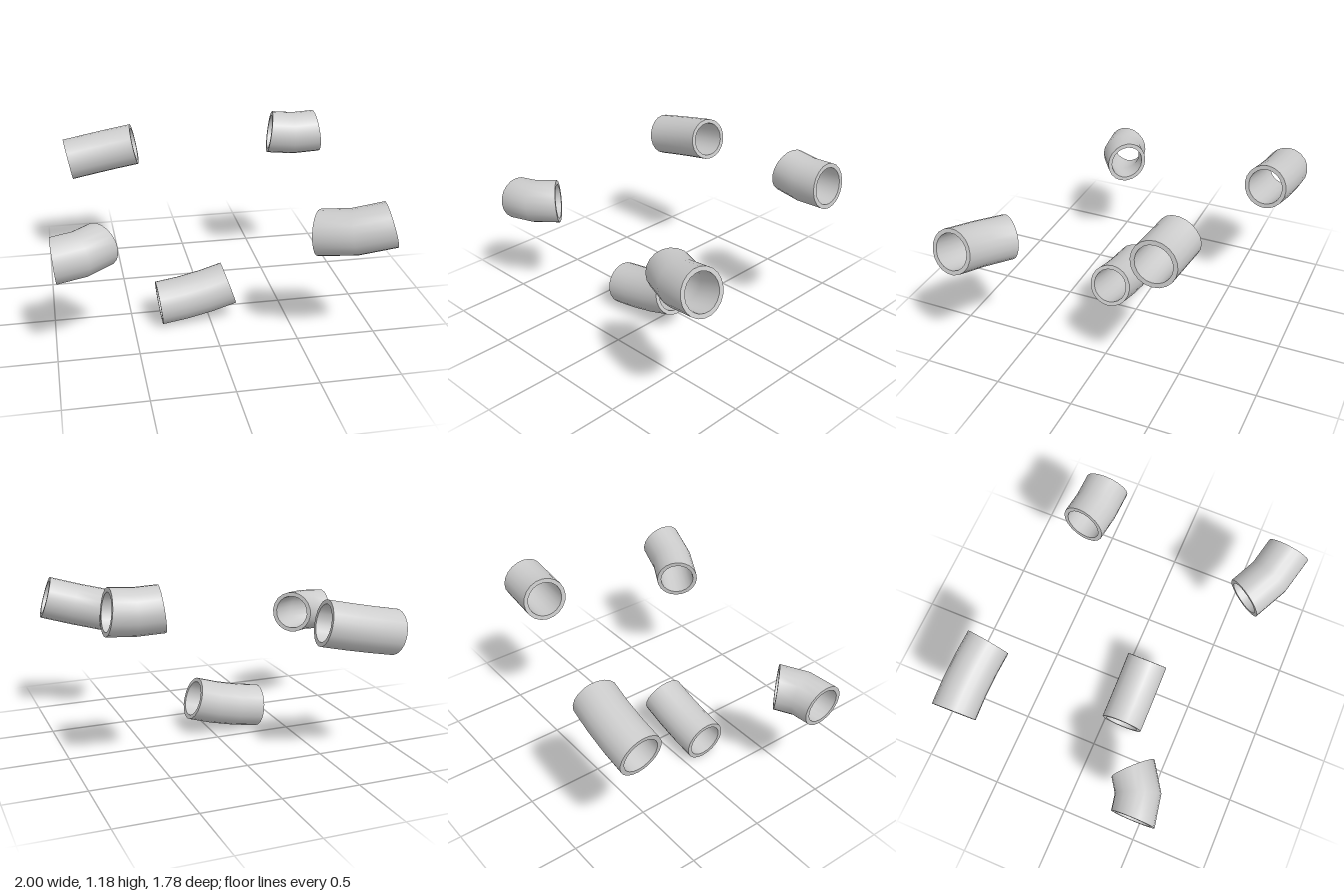
import * as THREE from 'three';
import { mergeGeometries } from 'three/addons/utils/BufferGeometryUtils.js';

const OUTER = 0.14, INNER = 0.113, SIDES = 20;

// Flat ring closing one end, joining the rims of the outer and inner walls
function endRing(outer, inner, firstVertex, atEnd) {
  const positions = [], uvs = [], index = [];
  for (let j = 0; j <= SIDES; j++) {
    for (const wall of [outer, inner]) {
      const p = new THREE.Vector3().fromBufferAttribute(wall.attributes.position, firstVertex + j);
      positions.push(p.x, p.y, p.z);
      uvs.push(j / SIDES, wall === outer ? 1 : 0);
    }
  }
  for (let j = 0; j < SIDES; j++) {
    const o = 2 * j, i = o + 1, o2 = o + 2, i2 = o + 3;
    if (atEnd) index.push(i, o2, o, i, i2, o2);
    else index.push(i, o, o2, i, o2, i2);
  }
  const ring = new THREE.BufferGeometry();
  ring.setAttribute('position', new THREE.Float32BufferAttribute(positions, 3));
  ring.setAttribute('uv', new THREE.Float32BufferAttribute(uvs, 2));
  ring.setIndex(index);
  ring.computeVertexNormals();
  return ring;
}

// Hollow bent tube: outer wall, inward-facing inner wall and two end rings
function hollowTube(start, bend, end, segments) {
  const curve = new THREE.QuadraticBezierCurve3(
    new THREE.Vector3(...start), new THREE.Vector3(...bend), new THREE.Vector3(...end));
  const outer = new THREE.TubeGeometry(curve, segments, OUTER, SIDES);
  const inner = new THREE.TubeGeometry(curve, segments, INNER, SIDES);
  const last = segments * (SIDES + 1);
  const rings = [endRing(outer, inner, 0, false), endRing(outer, inner, last, true)];

  inner.setIndex(Array.from(inner.index.array).reverse());
  const n = inner.attributes.normal;
  for (let k = 0; k < n.count; k++) n.setXYZ(k, -n.getX(k), -n.getY(k), -n.getZ(k));
  return mergeGeometries([outer, inner, ...rings]);
}

export function createModel() {
  const group = new THREE.Group();
  group.name = 'bentTubes';
  const material = new THREE.MeshStandardMaterial({ color: 0xcccccc });

  // Each tube: name, start, bend point, end, segments along the length
  const tubes = [
    ['centreTube', [-0.33, 0.14, 0.135], [-0.097, 0.169, 0.135], [0.125, 0.245, 0.135], 3],
    ['frontRightTube', [-0.985, 0.677, 0.485], [-0.82, 0.692, 0.484], [-0.703, 0.704, 0.369], 2],
    ['backRightTube', [-0.833, 0.836, -0.75], [-0.6, 0.88, -0.757], [-0.373, 0.928, -0.727], 3],
    ['backLeftTube', [0.532, 1.042, -0.49], [0.69, 1.022, -0.463], [0.847, 1.043, -0.46], 2],
    ['frontLeftTube', [0.572, 0.782, 0.602], [0.75, 0.807, 0.722], [0.956, 0.87, 0.752], 2],
  ];
  for (const [name, start, bend, end, segments] of tubes) {
    const mesh = new THREE.Mesh(hollowTube(start, bend, end, segments), material);
    mesh.name = name;
    group.add(mesh);
  }
  return group;
}
